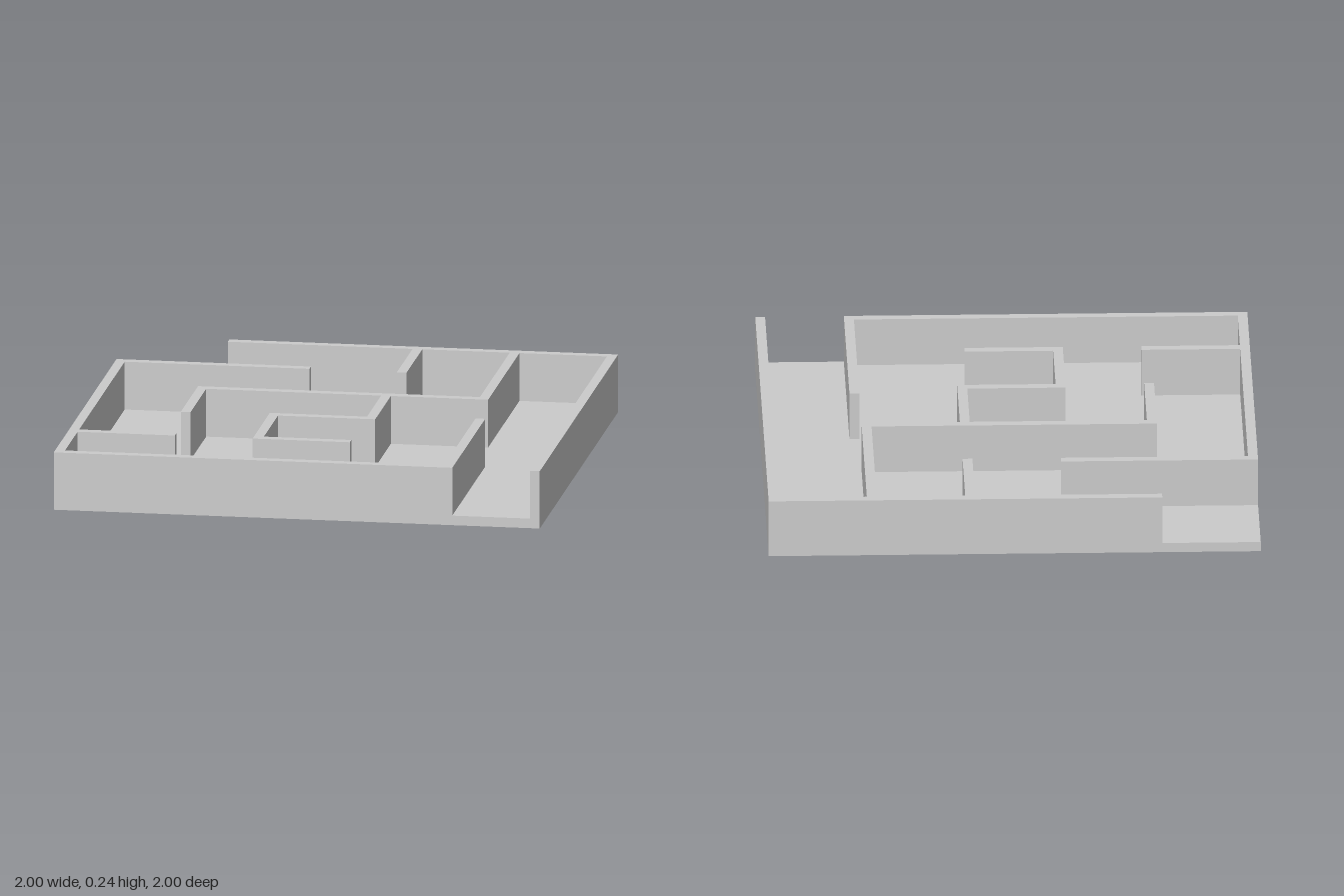
import * as THREE from 'three';

const FLOOR = 0.04, TOP = 0.24;

// Outlines seen from above, as [x, z] corners
const floorPlan = [[-1, -1], [1, -1], [1, 1], [-1, 1]];

// Left and front border, with two stubs and the wall beside the front opening
const leftFrontPlan = [
  [-1, -0.6], [-0.2, -0.6], [-0.2, -0.56], [-0.96, -0.56],
  [-0.96, 0.6], [-0.56, 0.6], [-0.56, 0.64], [-0.96, 0.64],
  [-0.96, 0.96], [0.6, 0.96], [0.6, 0.16], [0.64, 0.16], [0.64, 1], [-1, 1],
];

// Back and right border, with the branching inner walls
const backRightPlan = [
  [-0.6, -1], [1, -1], [1, 1], [0.96, 1], [0.96, -0.96],
  [0.6, -0.96], [0.6, -0.16], [0.2, -0.16], [0.2, 0.24], [-0.2, 0.24],
  [-0.2, 0.6], [0.16, 0.6], [0.16, 0.64], [-0.24, 0.64], [-0.24, 0.2],
  [0.16, 0.2], [0.16, -0.16], [-0.56, -0.16], [-0.56, 0.24], [-0.6, 0.24],
  [-0.6, -0.2], [0.56, -0.2], [0.56, -0.96],
  [0.2, -0.96], [0.2, -0.56], [0.16, -0.56], [0.16, -0.96], [-0.6, -0.96],
];

// Raises a plan outline into a solid between two heights
function solid(name, plan, bottom, top, material) {
  const shape = new THREE.Shape(plan.map(([x, z]) => new THREE.Vector2(x, -z)));
  const geometry = new THREE.ExtrudeGeometry(shape, { depth: top - bottom, bevelEnabled: false });
  geometry.rotateX(-Math.PI / 2).translate(0, bottom, 0);
  const mesh = new THREE.Mesh(geometry, material);
  mesh.name = name;
  return mesh;
}

export function createModel() {
  const material = new THREE.MeshStandardMaterial({ color: 0xcccccc });
  const maze = new THREE.Group();
  maze.name = 'maze';
  maze.add(
    solid('floor', floorPlan, 0, FLOOR, material),
    solid('leftFrontWalls', leftFrontPlan, FLOOR, TOP, material),
    solid('backRightWalls', backRightPlan, FLOOR, TOP, material),
  );
  return maze;
}
